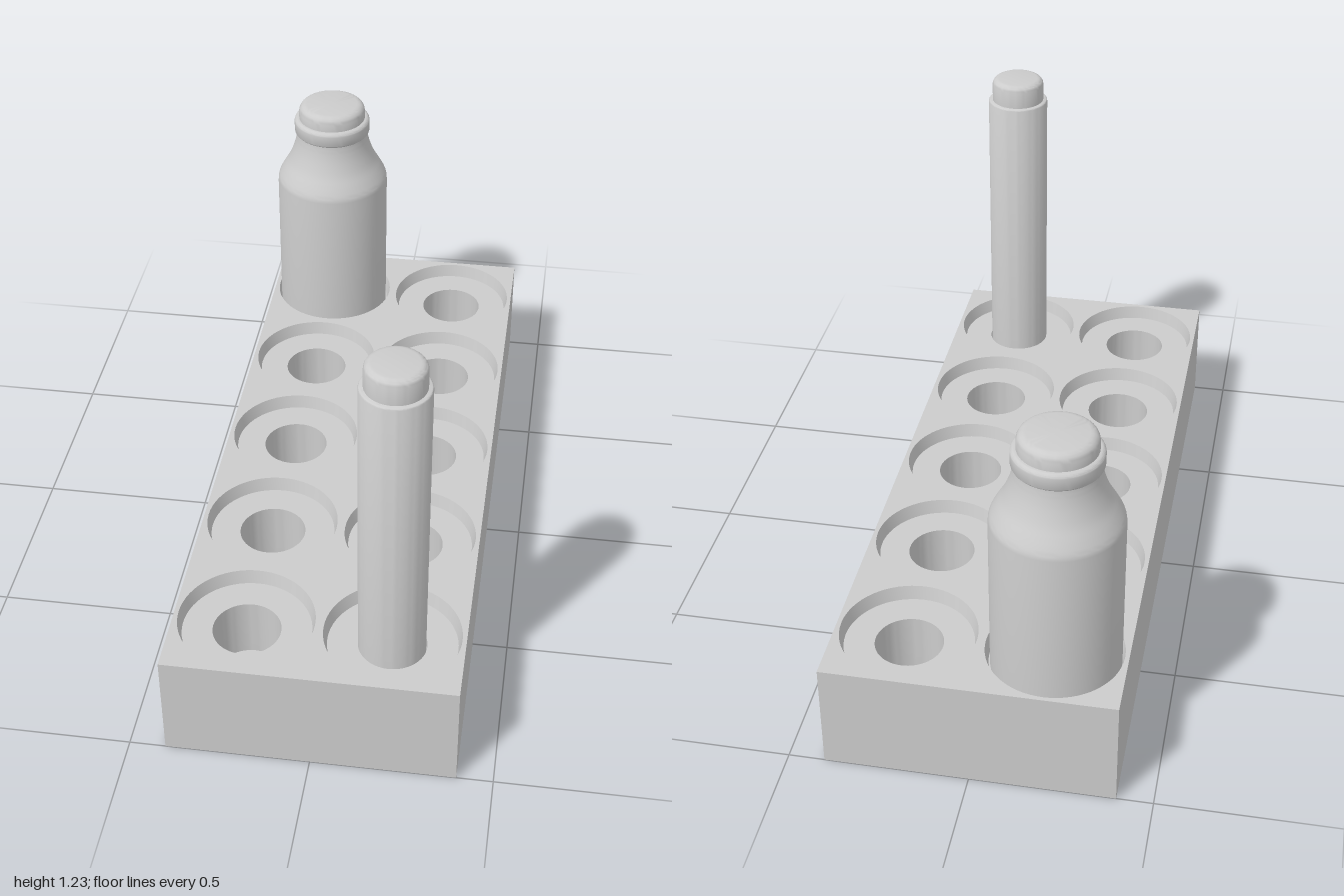
import * as THREE from 'three';
import { toCreasedNormals } from 'three/addons/utils/BufferGeometryUtils.js';

const WIDTH = 0.8, HEIGHT = 0.32, LENGTH = 2;
const RECESS_TOP = 0.188, RECESS_FLOOR = 0.178, HOLE = 0.094;
const RECESS_Y = 0.28, HOLE_Y = 0.1;
const material = new THREE.MeshStandardMaterial({ color: 0xcccccc });

function addMesh(parent, name, geometry, x = 0, y = 0, z = 0) {
  const mesh = new THREE.Mesh(geometry, material);
  mesh.name = name;
  mesh.position.set(x, y, z);
  parent.add(mesh);
  return mesh;
}

// Turned solid from [radius, height] pairs, with sharp edges kept
function turned(points, segments = 64) {
  const profile = points.map(([r, y]) => new THREE.Vector2(r, y));
  return toCreasedNormals(new THREE.LatheGeometry(profile, segments), 0.6);
}

// Profile points of a rounded outer corner whose extreme is (r, y)
function roundTop(r, y, radius, steps = 5) {
  return Array.from({ length: steps + 1 }, (_, i) => {
    const a = (i / steps) * Math.PI / 2;
    return [r - radius + radius * Math.cos(a), y - radius + radius * Math.sin(a)];
  });
}
const roundBottom = (r, y, radius) =>
  roundTop(r, 0, radius).reverse().map(([px, py]) => [px, y - py]);

function createRack() {
  const rack = new THREE.Group();
  rack.name = 'rack';

  // Sides and bottom: a box with its top face left out
  const box = new THREE.BoxGeometry(WIDTH, HEIGHT, LENGTH);
  box.setIndex(Array.from(box.index.array).filter((_, i) => i < 12 || i >= 18));
  box.clearGroups();
  addMesh(rack, 'rackBody', box, 0, HEIGHT / 2, 0);

  // Top face with ten openings, and a stepped pocket below each one
  const top = new THREE.Shape();
  top.moveTo(-WIDTH / 2, -LENGTH / 2);
  top.lineTo(WIDTH / 2, -LENGTH / 2);
  top.lineTo(WIDTH / 2, LENGTH / 2);
  top.lineTo(-WIDTH / 2, LENGTH / 2);
  const pocket = turned([
    [RECESS_TOP, HEIGHT], [RECESS_FLOOR, RECESS_Y],
    [HOLE, RECESS_Y], [HOLE, HOLE_Y], [0, HOLE_Y],
  ]);
  for (const x of [-0.2, 0.2]) {
    for (let row = -2; row <= 2; row++) {
      const z = row * 0.4;
      top.holes.push(new THREE.Path().absarc(x, -z, RECESS_TOP, 0, Math.PI * 2, true));
      addMesh(rack, 'pocket', pocket, x, 0, z);
    }
  }
  const topFace = new THREE.ShapeGeometry(top, 32).rotateX(-Math.PI / 2);
  addMesh(rack, 'rackTop', topFace, 0, HEIGHT, 0);
  return rack;
}

function createBottle() {
  const bottle = new THREE.Group();
  bottle.name = 'bottle';

  // Straight body with a shoulder that sweeps up into the neck
  const shoulder = new THREE.SplineCurve([
    [0.177, 0.75], [0.174, 0.772], [0.16, 0.8], [0.14, 0.835],
    [0.124, 0.875], [0.115, 0.91], [0.112, 0.935],
  ].map(([r, y]) => new THREE.Vector2(r, y))).getPoints(24).map((p) => [p.x, p.y]);
  addMesh(bottle, 'bottleBody',
    turned([[0, RECESS_Y], [0.177, RECESS_Y], ...shoulder, [0, 0.935]]));

  // Rounded collar around the neck
  addMesh(bottle, 'bottleCollar', turned([
    [0, 0.928], ...roundBottom(0.12, 0.928, 0.012), ...roundTop(0.12, 0.98, 0.012), [0, 0.98],
  ]));

  // Stopper
  addMesh(bottle, 'bottleCap',
    turned([[0.105, 0.975], ...roundTop(0.105, 1.027, 0.025), [0, 1.027]]));
  return bottle;
}

function createTube() {
  const tube = new THREE.Group();
  tube.name = 'tube';

  // Slim body standing in the narrow hole
  addMesh(tube, 'tubeBody', turned([
    [0, HOLE_Y], [0.0925, HOLE_Y], ...roundTop(0.0925, 1.16, 0.007), [0, 1.16],
  ]));

  // Stopper
  addMesh(tube, 'tubeCap',
    turned([[0.08, 1.155], ...roundTop(0.08, 1.23, 0.02), [0, 1.23]]));
  return tube;
}

export function createModel() {
  const model = new THREE.Group();
  model.name = 'bottleRack';
  const bottle = createBottle();
  bottle.position.set(-0.203, 0, -0.8);
  const tube = createTube();
  tube.position.set(0.198, 0, 0.8);
  model.add(createRack(), bottle, tube);
  return model;
}
